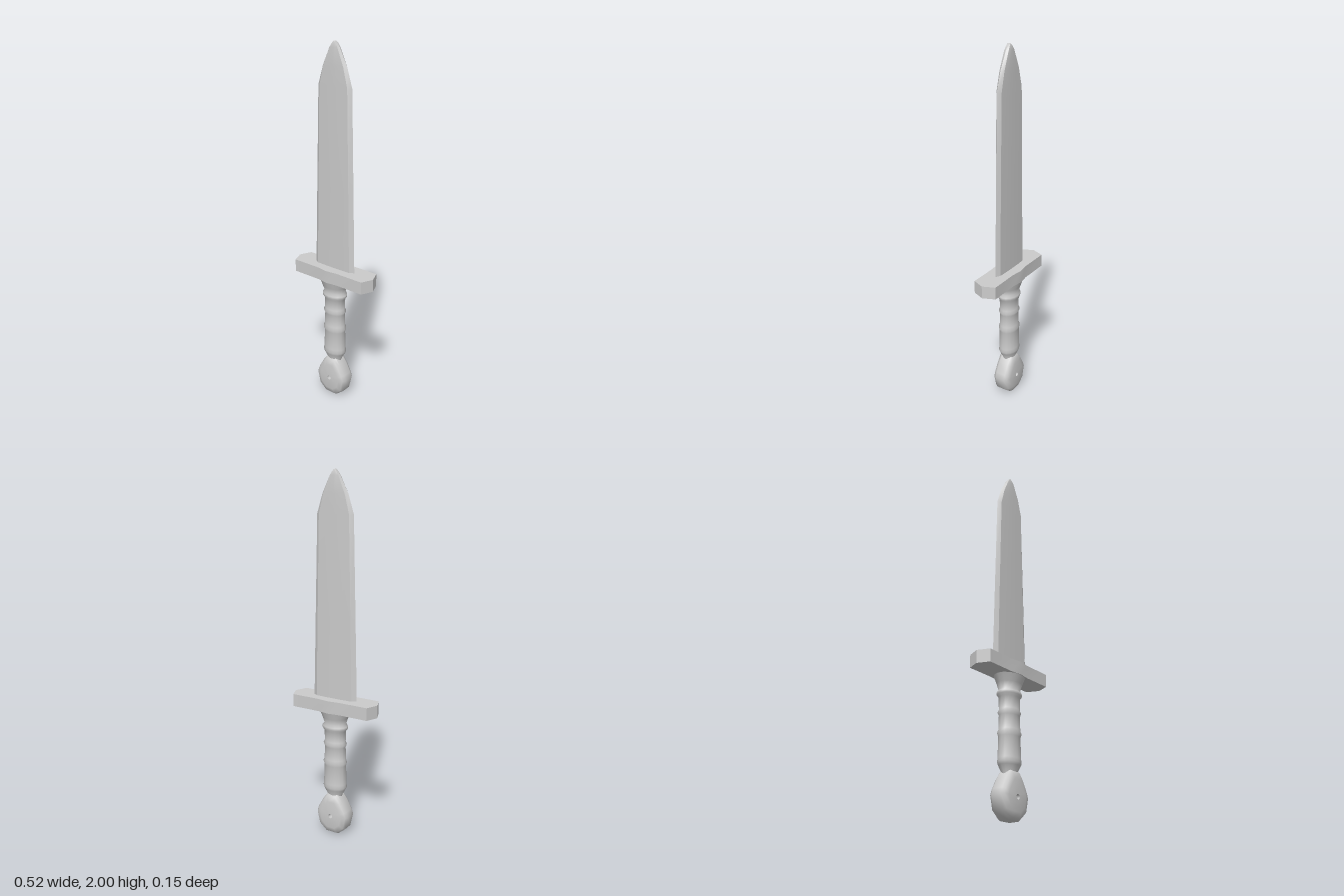
import * as THREE from 'three';
import { toCreasedNormals } from 'three/addons/utils/BufferGeometryUtils.js';

const material = new THREE.MeshStandardMaterial({ color: 0xcccccc });

// Skin a list of equal-sized rings of [x, y, z]; either cap the ends or join last to first.
function loft(rings, closed, crease) {
  const n = rings[0].length;
  const points = rings.flat();
  const index = [];
  const spans = closed ? rings.length : rings.length - 1;
  for (let r = 0; r < spans; r++) {
    const next = (r + 1) % rings.length;
    for (let i = 0; i < n; i++) {
      const j = (i + 1) % n;
      const a = r * n + i, b = r * n + j, c = next * n + j, d = next * n + i;
      index.push(a, b, c, a, c, d);
    }
  }
  if (!closed) {
    const top = (rings.length - 1) * n;
    for (let i = 1; i < n - 1; i++) {
      index.push(0, i + 1, i, top, top + i, top + i + 1);
    }
  }
  const geometry = new THREE.BufferGeometry();
  geometry.setAttribute('position', new THREE.Float32BufferAttribute(points.flat(), 3));
  geometry.setIndex(index);
  return toCreasedNormals(geometry, crease);
}

// Blade: flat lens section with bevelled cutting edges. Profile rows: y, half width, half thickness.
function bladeGeometry() {
  const profile = [
    [0.78, 0.135, 0.018], [1.25, 0.123, 0.018], [1.78, 0.109, 0.018],
    [1.88, 0.077, 0.017], [1.97, 0.03, 0.015], [1.99, 0.014, 0.012], [2, 0.003, 0.008],
  ];
  const section = [
    [1, 0], [0.82, -0.85], [0.4, -0.97], [0, -1], [-0.4, -0.97], [-0.82, -0.85],
    [-1, 0], [-0.82, 0.85], [-0.4, 0.97], [0, 1], [0.4, 0.97], [0.82, 0.85],
  ];
  return loft(profile.map(([y, w, t]) => section.map(([x, z]) => [x * w, y, z * t])), false, 0.5);
}

// Crossguard: pointed ends and a slight swell in the middle.
function guardGeometry() {
  const outline = [
    [0.26, 0], [0.232, -0.067], [0.065, -0.067], [0, -0.076], [-0.065, -0.067], [-0.232, -0.067],
    [-0.26, 0], [-0.232, 0.067], [-0.065, 0.067], [0, 0.076], [0.065, 0.067], [0.232, 0.067],
  ];
  return loft([0.73, 0.8].map((y) => outline.map(([x, z]) => [x, y, z])), false, 0.3);
}

// Grip: oval rings with raised bands. Rows: y, radius in x, radius in z.
function gripGeometry() {
  const profile = [
    [0.2, 0.045, 0.035], [0.23, 0.043, 0.036], [0.265, 0.064, 0.05], [0.28, 0.07, 0.055],
    [0.3, 0.067, 0.052], [0.41, 0.064, 0.05], [0.428, 0.07, 0.056], [0.446, 0.063, 0.05],
    [0.52, 0.061, 0.048], [0.536, 0.068, 0.055], [0.552, 0.061, 0.048],
    [0.615, 0.063, 0.05], [0.628, 0.074, 0.058], [0.642, 0.074, 0.058], [0.655, 0.063, 0.05],
    [0.69, 0.075, 0.06], [0.735, 0.096, 0.074],
  ];
  const sides = 16;
  const rings = profile.map(([y, rx, rz]) => Array.from({ length: sides }, (_, i) => {
    const a = (i / sides) * Math.PI * 2;
    return [rx * Math.cos(a), y, -rz * Math.sin(a)];
  }));
  return loft(rings, false, 1.2);
}

// Pommel: faceted disc with rounded faces and a small hole right through.
function pommelGeometry() {
  const centre = 0.11, holeRadius = 0.013;
  const half = [[0.035, 0], [0.083, 0.04], [0.101, 0.115], [0.09, 0.145], [0.06, 0.2], [0.03, 0.24]];
  const outline = [...half, ...half.map(([x, y]) => [-x, y]).reverse()];
  const scaled = (s, z) => outline.map(([x, y]) => [x * s, centre + (y - centre) * s, z]);
  const hole = (z) => outline.map(([x, y]) => {
    const a = Math.atan2(y - centre, x);
    return [holeRadius * Math.cos(a), centre + holeRadius * Math.sin(a), z];
  });
  return loft([
    hole(-0.054), scaled(0.65, -0.052), scaled(0.9, -0.044), scaled(1, -0.028),
    scaled(1, 0.028), scaled(0.9, 0.044), scaled(0.65, 0.052), hole(0.054),
  ], true, 0.95);
}

export function createModel() {
  const model = new THREE.Group();
  model.name = 'dagger';
  const parts = {
    blade: bladeGeometry(),
    crossguard: guardGeometry(),
    grip: gripGeometry(),
    pommel: pommelGeometry(),
  };
  for (const [name, geometry] of Object.entries(parts)) {
    const mesh = new THREE.Mesh(geometry, material);
    mesh.name = name;
    model.add(mesh);
  }
  return model;
}
